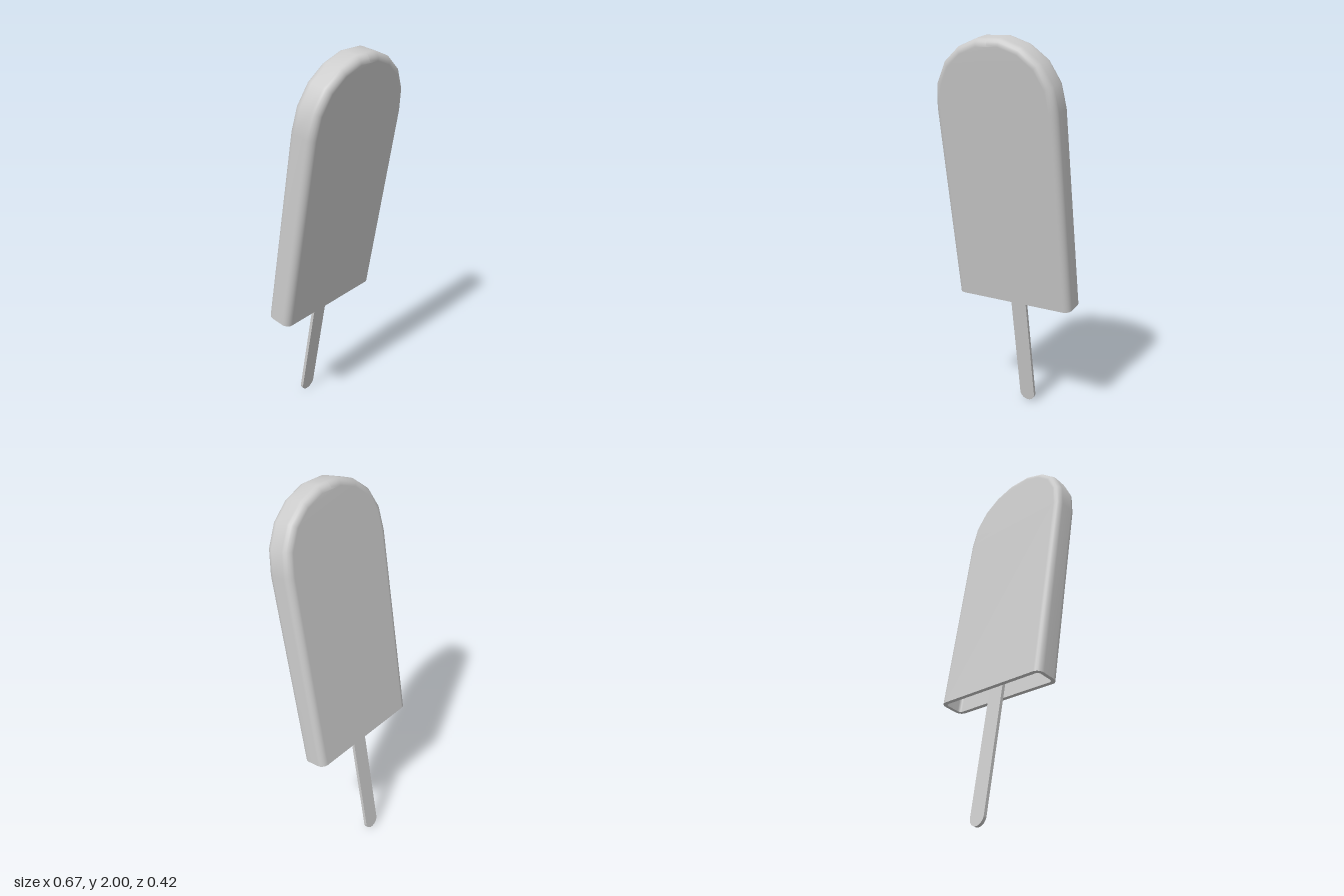
import * as THREE from 'three';

const BOTTOM = 0.663; // lower edge of the ice body along the stick
const HALF_DEPTH = 0.069;
const BEVEL = 0.036;
const WALL = 0.02;

// Right half of the arched outline, from the bottom corner to the crown.
const OUTLINE = [
  [0.335, BOTTOM], [0.335, 1.69], [0.317, 1.81], [0.26, 1.914],
  [0.172, 1.985], [0.065, 2.024], [0, 2.024],
].map(([x, y]) => new THREE.Vector2(x, y));

// Outward normal at an outline point, averaged from its neighbouring segments.
function outlineNormal(i) {
  const n = new THREE.Vector2();
  for (const [a, b] of [[i - 1, i], [i, i + 1]]) {
    if (!OUTLINE[a] || !OUTLINE[b]) continue;
    const d = OUTLINE[b].clone().sub(OUTLINE[a]).normalize();
    n.add(new THREE.Vector2(d.y, -d.x));
  }
  return n.normalize();
}

// One closed, rounded cross-section loop per outline point, shrunk by inset.
function sections(inset) {
  const steps = 5;
  const radius = BEVEL - inset;
  const depth = HALF_DEPTH - inset;
  return OUTLINE.map((p, i) => {
    const n = outlineNormal(i);
    const front = [];
    for (let k = 0; k <= steps; k++) {
      const a = (k / steps) * Math.PI / 2;
      const off = inset + radius * (1 - Math.sin(a));
      front.push([Math.max(0, p.x - n.x * off), p.y - n.y * off, depth - radius * (1 - Math.cos(a))]);
    }
    const back = front.map(([x, y, z]) => [x, y, -z]).reverse();
    const right = [...front, ...back];
    const left = right.map(([x, y, z]) => [-x, y, z]).reverse();
    return [...right, ...left];
  });
}

// Joins consecutive closed loops with a smooth skin.
function skin(loops) {
  const n = loops[0].length;
  const index = [];
  for (let j = 0; j < loops.length - 1; j++) {
    for (let k = 0; k < n; k++) {
      const a = j * n + k, b = j * n + (k + 1) % n;
      index.push(a, b, b + n, a, b + n, a + n);
    }
  }
  const g = new THREE.BufferGeometry();
  g.setAttribute('position', new THREE.Float32BufferAttribute(loops.flat(2), 3));
  g.setIndex(index);
  g.computeVertexNormals();
  return g;
}

// Flat stick with two round ends.
function stickGeometry(width, length, thickness) {
  const r = width / 2;
  const shape = new THREE.Shape();
  shape.absarc(0, r, r, Math.PI, Math.PI * 2, false);
  shape.absarc(0, length - r, r, 0, Math.PI, false);
  shape.closePath();
  const g = new THREE.ExtrudeGeometry(shape, { depth: thickness, bevelEnabled: false, curveSegments: 10 });
  return g.translate(0, 0, -thickness / 2);
}

export function createModel() {
  const material = new THREE.MeshStandardMaterial({ color: 0xcccccc });
  const model = new THREE.Group();
  model.name = 'iceLolly';

  const add = (parent, name, geometry) => {
    const mesh = new THREE.Mesh(geometry, material);
    mesh.name = name;
    parent.add(mesh);
  };

  // Hollow ice body, open at the bottom
  const body = new THREE.Group();
  body.name = 'iceBody';
  const outer = sections(0);
  const inner = sections(WALL);
  add(body, 'outerShell', skin(outer));
  add(body, 'innerShell', skin([...inner].reverse()));
  add(body, 'bottomRim', skin([inner[0], outer[0]]));
  body.position.z = 0.003;
  model.add(body);

  // Stick reaching up into the body
  add(model, 'stick', stickGeometry(0.088, 1.2, 0.017));

  // The whole lolly leans forward from the stick's tip
  model.rotation.x = THREE.MathUtils.degToRad(10);
  model.position.set(0, 0.001, -0.207);
  const root = new THREE.Group();
  root.name = 'leaningLolly';
  root.add(model);
  return root;
}
